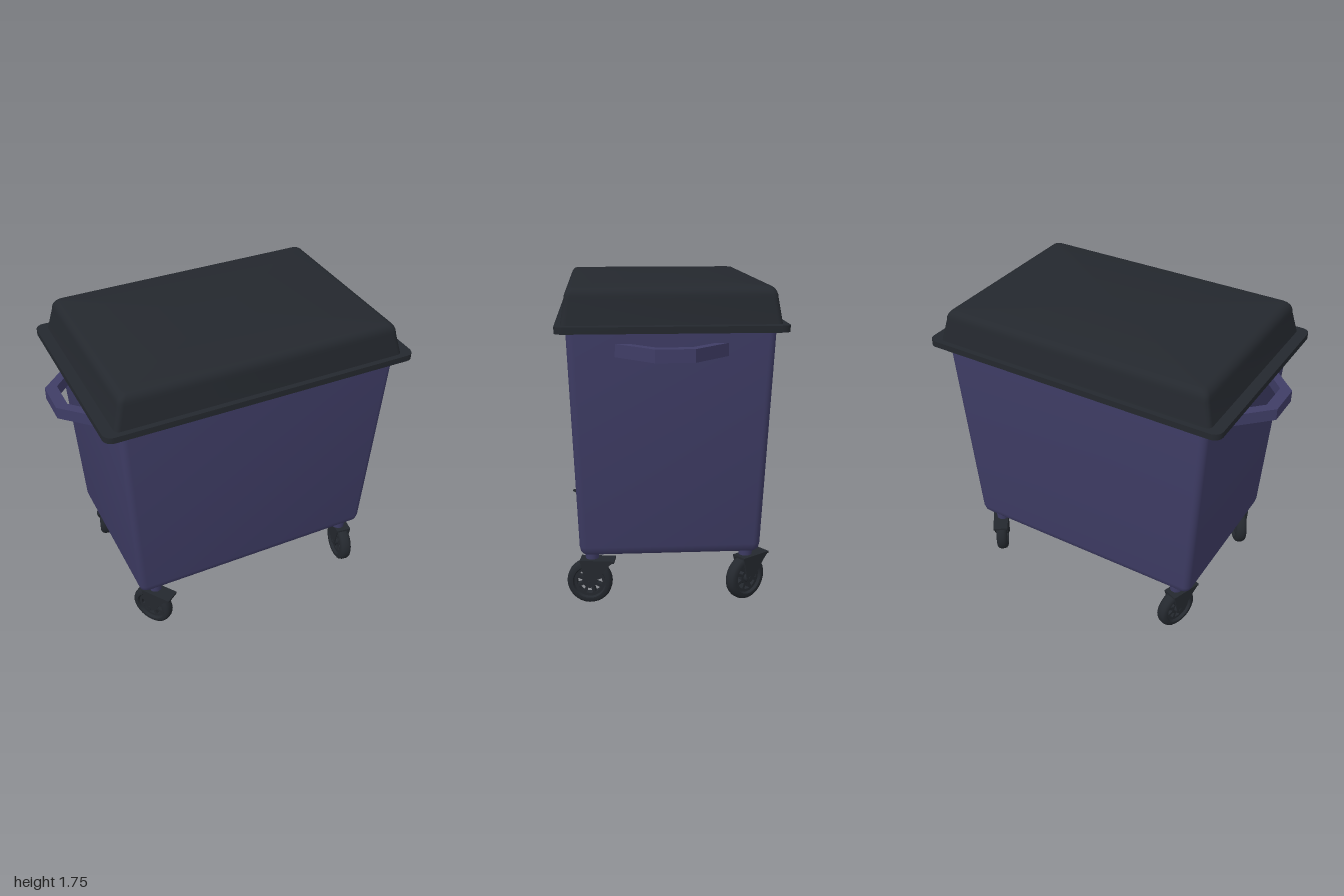
import * as THREE from 'three';
import { toCreasedNormals } from 'three/addons/utils/BufferGeometryUtils.js';

const purple = new THREE.MeshStandardMaterial({ color: 0x3f3d66 });
const dark = new THREE.MeshStandardMaterial({ color: 0x24282e });

function add(parent, name, geometry, material) {
  const mesh = new THREE.Mesh(geometry, material);
  mesh.name = name;
  parent.add(mesh);
  return mesh;
}

// Closed solid through rounded rectangles, each level [y, halfX, halfZ, radius]
function loft(levels, crease = 0.6) {
  const pos = [], index = [], steps = 5, n = 4 * (steps + 1);
  for (const [y, hx, hz, r] of levels) {
    for (let c = 0; c < 4; c++) {
      const sx = c === 0 || c === 3 ? 1 : -1, sz = c < 2 ? 1 : -1;
      for (let i = 0; i <= steps; i++) {
        const a = (c + i / steps) * Math.PI / 2;
        pos.push(sx * (hx - r) + r * Math.cos(a), y, sz * (hz - r) + r * Math.sin(a));
      }
    }
  }
  const last = levels.length - 1, bottom = pos.length / 3, top = bottom + 1;
  pos.push(0, levels[0][0], 0, 0, levels[last][0], 0);
  for (let j = 0; j < n; j++) {
    const k = (j + 1) % n;
    for (let i = 0; i < last; i++) {
      const a = i * n + j, b = i * n + k;
      index.push(a, a + n, b, b, a + n, b + n);
    }
    index.push(bottom, j, k, top, last * n + k, last * n + j);
  }
  const g = new THREE.BufferGeometry();
  g.setAttribute('position', new THREE.Float32BufferAttribute(pos, 3));
  g.setIndex(index);
  return toCreasedNormals(g, crease);
}

function extrude(points, depth) {
  const shape = new THREE.Shape(points.map(([x, y]) => new THREE.Vector2(x, y)));
  return new THREE.ExtrudeGeometry(shape, { depth, bevelEnabled: false });
}

// Wheel whose axle runs along z, centred on the origin
function makeWheel() {
  const wheel = new THREE.Group();
  wheel.name = 'wheel';
  const profile = [[0.086, -0.026], [0.092, -0.034], [0.108, -0.034], [0.12, -0.026], [0.125, -0.012],
    [0.125, 0.012], [0.12, 0.026], [0.108, 0.034], [0.092, 0.034], [0.086, 0.026], [0.086, -0.026]];
  const tyre = new THREE.LatheGeometry(profile.map(([r, y]) => new THREE.Vector2(r, y)), 32);
  add(wheel, 'tyre', toCreasedNormals(tyre.rotateX(Math.PI / 2), 0.7), dark);

  // Rim disc with openings between the spokes
  const disc = new THREE.Shape().absarc(0, 0, 0.088, 0, Math.PI * 2);
  for (let i = 0; i < 8; i++) {
    const a = i * Math.PI / 4, hole = new THREE.Path();
    hole.absarc(0, 0, 0.07, a - 0.27, a + 0.27, false);
    hole.absarc(0, 0, 0.04, a + 0.2, a - 0.2, true);
    hole.closePath();
    disc.holes.push(hole);
  }
  const rim = new THREE.ExtrudeGeometry(disc, { depth: 0.036, bevelEnabled: false, curveSegments: 8 });
  add(wheel, 'spokedRim', rim.translate(0, 0, -0.018), dark);
  add(wheel, 'hub', new THREE.CylinderGeometry(0.026, 0.026, 0.08, 16).rotateX(Math.PI / 2), dark);
  return wheel;
}

// Swivel caster: stem at the origin, fork leaning towards local +x
function makeCaster() {
  const caster = new THREE.Group();
  caster.name = 'caster';
  add(caster, 'stem', new THREE.CylinderGeometry(0.042, 0.036, 0.06, 16).translate(0, 0.28, 0), purple);
  const fork = new THREE.Group();
  fork.name = 'fork';
  fork.position.set(-0.012, 0, 0.014);
  caster.add(fork);
  add(fork, 'forkPlate', new THREE.BoxGeometry(0.19, 0.012, 0.088).translate(0.045, 0.248, 0), dark);
  const cheek = [[-0.05, 0.254], [-0.022, 0.125], [-0.012, 0.108], [0.012, 0.108], [0.03, 0.125],
    [0.1, 0.215], [0.14, 0.254]];
  for (const z of [-0.045, 0.037]) {
    add(fork, 'forkCheek', extrude(cheek, 0.008).translate(0, 0, z), dark);
  }
  add(fork, 'axle', new THREE.CylinderGeometry(0.012, 0.012, 0.096, 12).rotateX(Math.PI / 2)
    .translate(0, 0.125, 0), dark);
  const wheel = makeWheel();
  wheel.position.y = 0.125;
  fork.add(wheel);
  return caster;
}

export function createModel() {
  const model = new THREE.Group();
  model.name = 'wheeledBin';

  // Tapered container with rounded lower edges
  add(model, 'container', loft([
    [0.3, 0.705, 0.46, 0.03], [0.306, 0.722, 0.475, 0.035], [0.32, 0.733, 0.486, 0.04],
    [0.35, 0.741, 0.492, 0.04], [1.535, 0.81, 0.54, 0.04],
  ]), purple);

  // Lid: flat rim and domed cover
  add(model, 'lidRim', loft([[1.53, 0.9, 0.595, 0.05], [1.565, 0.9, 0.595, 0.05]]), dark);
  const dome = [[1.56, 0.838, 0.565, 0.03], [1.69, 0.804, 0.545, 0.03]];
  for (let i = 1; i <= 5; i++) {
    const a = i / 5 * Math.PI / 2, inset = 0.05 * (1 - Math.cos(a));
    dome.push([1.69 + 0.06 * Math.sin(a), 0.804 - inset, 0.545 - inset * 0.8, 0.03]);
  }
  add(model, 'lidDome', loft(dome), dark);

  // Angular grab handles on both ends
  const bar = [[0.77, 0.32], [0.8, 0.295], [1, 0.1], [1, -0.1], [0.8, -0.295], [0.77, -0.32],
    [0.77, -0.255], [0.935, -0.09], [0.935, 0.09], [0.77, 0.255]];
  for (const [name, turn] of [['leftHandle', 0], ['rightHandle', Math.PI]]) {
    const handle = add(model, name, extrude(bar, 0.068).rotateX(-Math.PI / 2), purple);
    handle.position.y = 1.4;
    handle.rotation.y = turn;
  }

  // Four casters, each swivelled its own way
  for (const [x, z, degrees] of [[1, 1, 82], [1, -1, 125], [-1, 1, -55], [-1, -1, 250]]) {
    const caster = makeCaster();
    caster.position.set(x * 0.63, 0, z * 0.426);
    caster.rotation.y = THREE.MathUtils.degToRad(degrees);
    model.add(caster);
  }
  return model;
}
